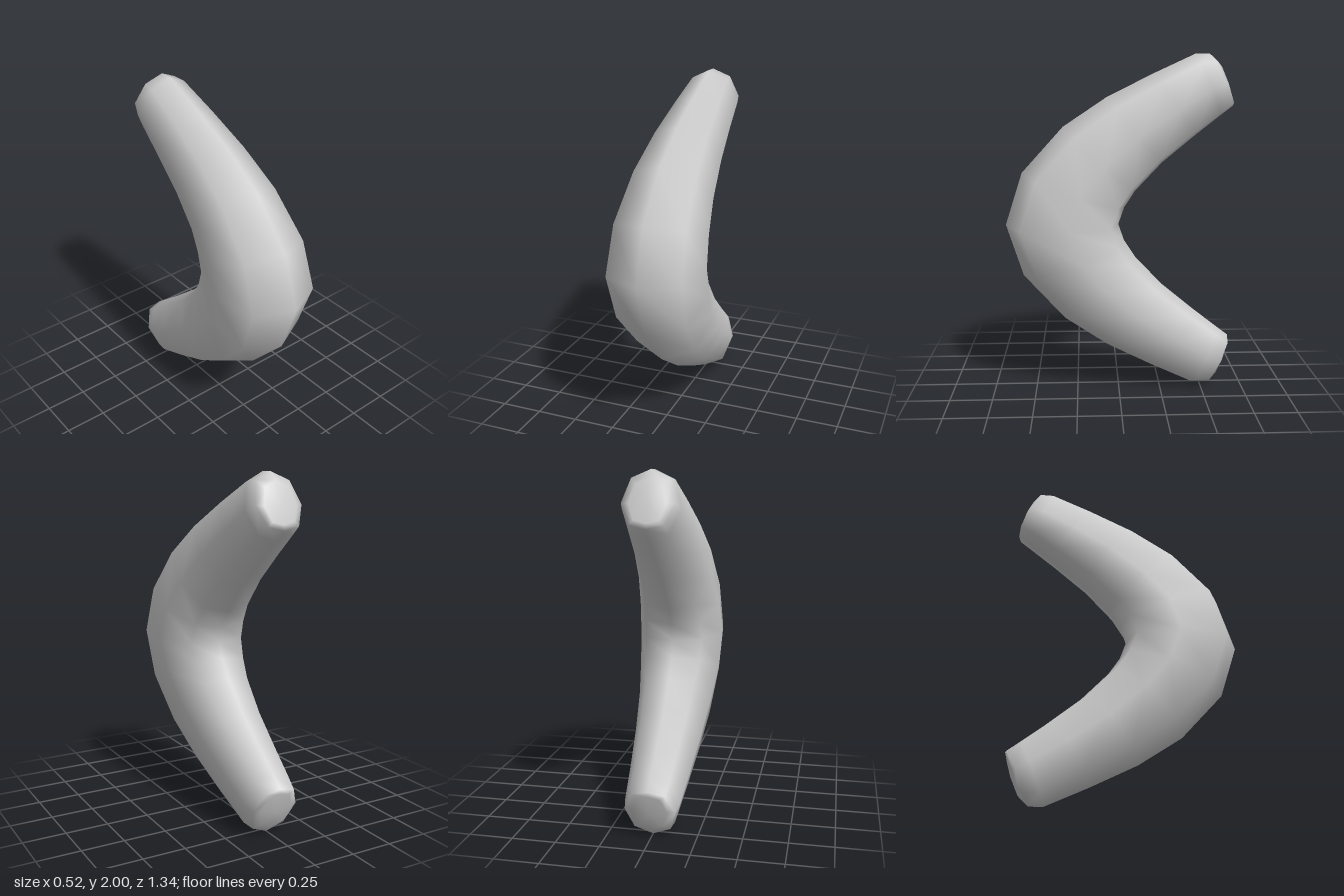
import * as THREE from 'three';

// Stations from the middle to the tip: outer z, outer y, inner z, inner y,
// half width, relative width of the outer shoulder (y measured from mid height)
const ARM = [
  [0.67, 0, 0.0, 0, 0.262, 0.86],
  [0.57, 0.31, -0.035, 0.1, 0.25, 0.85],
  [0.325, 0.58, -0.1, 0.2, 0.225, 0.83],
  [0.07, 0.75, -0.26, 0.37, 0.2, 0.8],
  [-0.2, 0.885, -0.46, 0.535, 0.176, 0.77],
  [-0.45, 1.0, -0.6, 0.645, 0.158, 0.72],
  [-0.53, 1.0, -0.672, 0.7, 0.142, 0.72],
  [-0.58, 0.955, -0.665, 0.73, 0.1, 0.72],
];
const TIP = [-0.635, 0.84];

// Eight-sided section: outer ridge, shoulder, flank, inner edge, then mirrored
function section([oz, oy, iz, iy, w, shoulder], side) {
  const half = [[0, 0], [shoulder, 0.15], [1, 0.57], [0.66, 0.93], [0, 1]];
  const loop = [...half, ...half.slice(1, 4).reverse().map(([x, t]) => [-x, t])];
  return loop.map(([x, t]) => [
    x * w,
    1 + side * THREE.MathUtils.lerp(oy, iy, t),
    THREE.MathUtils.lerp(oz, iz, t),
  ]);
}

export function createModel() {
  // Lower arm from its tip to the middle, then the mirrored upper arm
  const rings = [
    ...ARM.slice(1).reverse().map((s) => section(s, -1)),
    ...ARM.map((s) => section(s, 1)),
  ];
  const n = 8;
  const positions = rings.flat();
  const index = [];
  for (let i = 0; i < rings.length - 1; i++) {
    for (let j = 0; j < n; j++) {
      const a = i * n + j;
      const b = i * n + ((j + 1) % n);
      index.push(a, b, a + n, b, b + n, a + n);
    }
  }

  // Slightly domed end caps
  const bottom = positions.push([0, 1 - TIP[1], TIP[0]]) - 1;
  const top = positions.push([0, 1 + TIP[1], TIP[0]]) - 1;
  const last = (rings.length - 1) * n;
  for (let j = 0; j < n; j++) {
    const k = (j + 1) % n;
    index.push(bottom, k, j, top, last + j, last + k);
  }

  const geometry = new THREE.BufferGeometry();
  geometry.setAttribute('position', new THREE.Float32BufferAttribute(positions.flat(), 3));
  geometry.setIndex(index);
  geometry.computeVertexNormals();

  const body = new THREE.Mesh(geometry, new THREE.MeshStandardMaterial({ color: 0xcccccc }));
  body.name = 'curvedBody';
  const group = new THREE.Group();
  group.name = 'crescent';
  group.add(body);
  return group;
}
